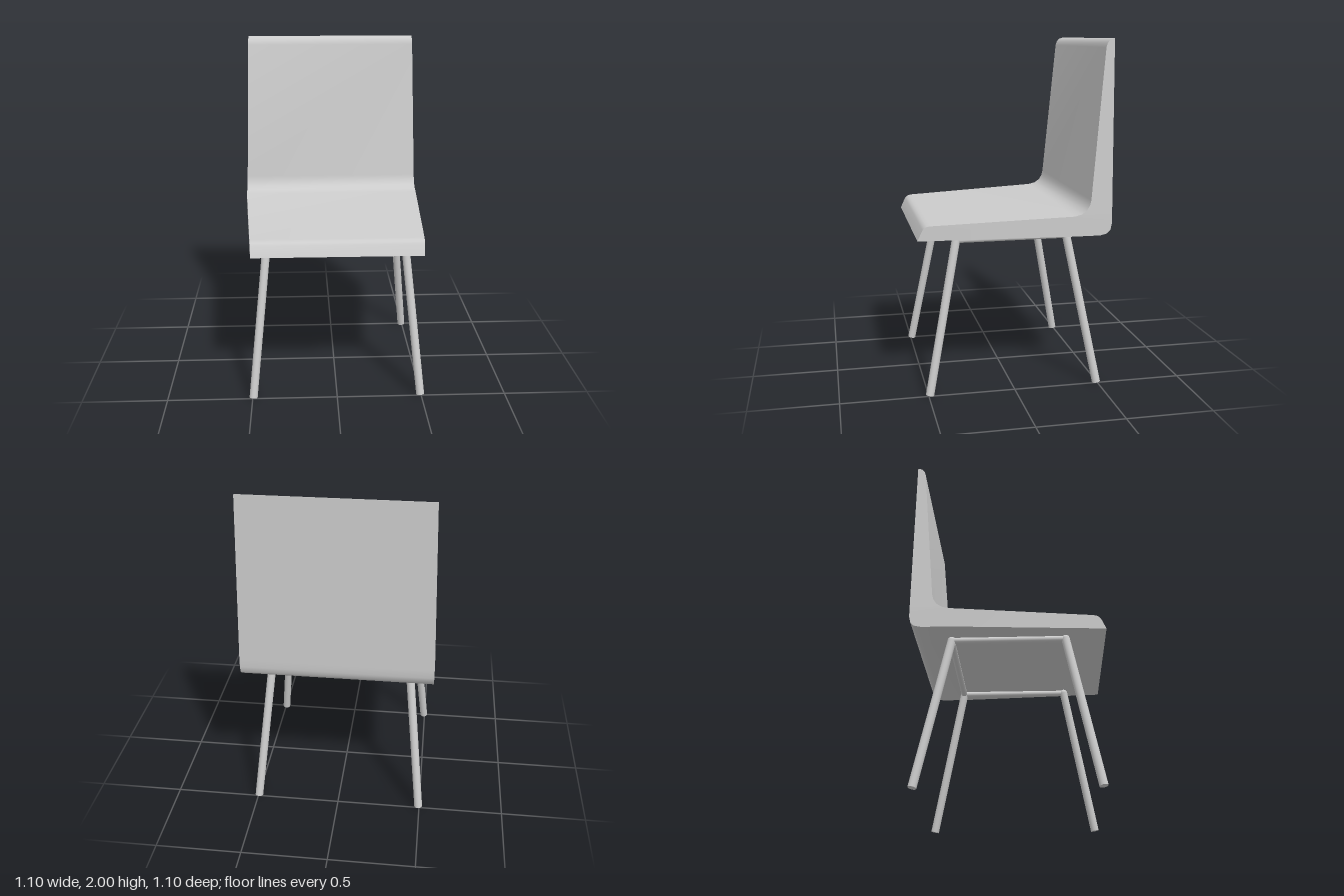
import * as THREE from 'three';
import { toCreasedNormals } from 'three/addons/utils/BufferGeometryUtils.js';

const SEAT_BOTTOM = 0.905, BACK_Z = -0.548;

// Half width: the seat narrows to the front, the backrest narrows to the top
function halfWidth([z, y]) {
  const seat = Math.max(0, z + 0.33) / 0.88;
  const back = Math.max(0, y - 1.02) / 0.98;
  return 0.548 - 0.061 * seat - 0.028 * back;
}

// One-piece shell built from pairs of upper and lower profile points [z, y]
function shellGeometry() {
  const seatTop = [[0.548, 0.905], [0.52, 0.966], [0.51, 0.978], [0.495, 0.985], [0.475, 0.988], [-0.33, 1.02]];
  const corner = [[-0.48, 0.905], [-0.52, 0.914], [-0.54, 0.935], [-0.548, 0.97], [-0.548, 1.02]];
  const backFront = [[-0.37, 1.03], [-0.4, 1.05], [-0.418, 1.08], [-0.425, 1.11],
    [-0.5, 1.95], [-0.508, 1.975], [-0.523, 1.993], [-0.548, 2]];
  const pairs = [
    ...seatTop.map(p => [p, [p[0], SEAT_BOTTOM]]),
    ...corner.map(p => [[-0.33, 1.02], p]),
    ...backFront.map(p => [p, [BACK_Z, p[1]]]),
  ];

  const positions = [];
  const triangle = (a, b, c) => {
    const area = new THREE.Triangle(a, b, c).getArea();
    if (area > 1e-8) for (const p of [a, b, c]) positions.push(p.x, p.y, p.z);
  };
  const quad = (a, b, c, d) => { triangle(a, b, c); triangle(a, c, d); };
  const point = (p, side) => new THREE.Vector3(side * halfWidth(p), p[1], p[0]);

  for (let i = 0; i < pairs.length - 1; i++) {
    const [top0, low0] = pairs[i], [top1, low1] = pairs[i + 1];
    quad(point(top0, -1), point(top0, 1), point(top1, 1), point(top1, -1));
    quad(point(low0, 1), point(low0, -1), point(low1, -1), point(low1, 1));
    quad(point(top0, 1), point(low0, 1), point(low1, 1), point(top1, 1));
    quad(point(low0, -1), point(top0, -1), point(top1, -1), point(low1, -1));
  }
  const geometry = new THREE.BufferGeometry();
  geometry.setAttribute('position', new THREE.Float32BufferAttribute(positions, 3));
  return toCreasedNormals(geometry, 0.65);
}

// Round rod between two points
function rod(name, from, to, radius, material) {
  const direction = to.clone().sub(from);
  const mesh = new THREE.Mesh(new THREE.CylinderGeometry(radius, radius, direction.length(), 20), material);
  mesh.position.copy(from).add(to).multiplyScalar(0.5);
  mesh.quaternion.setFromUnitVectors(new THREE.Vector3(0, 1, 0), direction.normalize());
  mesh.name = name;
  return mesh;
}

export function createModel() {
  const grey = new THREE.MeshStandardMaterial({ color: 0xcccccc });
  grey.name = 'light grey';

  const chair = new THREE.Group();
  chair.name = 'chair';

  const shell = new THREE.Mesh(shellGeometry(), grey);
  shell.name = 'seatShell';
  chair.add(shell);

  const frame = new THREE.Group();
  frame.name = 'frame';
  chair.add(frame);

  const top = (sx, sz) => new THREE.Vector3(sx * 0.405, 0.884, sz * 0.322);
  for (const sx of [-1, 1]) {
    const side = sx > 0 ? 'Left' : 'Right';
    // Splayed legs with rounded joints
    for (const sz of [-1, 1]) {
      const end = sz > 0 ? 'front' : 'rear';
      const foot = new THREE.Vector3(sx * 0.495, 0.006, sz * 0.493);
      frame.add(rod(`${end}${side}Leg`, foot, top(sx, sz), 0.024, grey));
      const joint = new THREE.Mesh(new THREE.SphereGeometry(0.024, 20, 12), grey);
      joint.position.copy(top(sx, sz));
      joint.name = `${end}${side}Joint`;
      frame.add(joint);
    }
    // Side rails
    frame.add(rod(`side${side}Rail`, top(sx, -1), top(sx, 1), 0.018, grey));
  }
  // Rear cross rail; the front stays open
  frame.add(rod('rearRail', top(-1, -1), top(1, -1), 0.018, grey));

  return chair;
}
